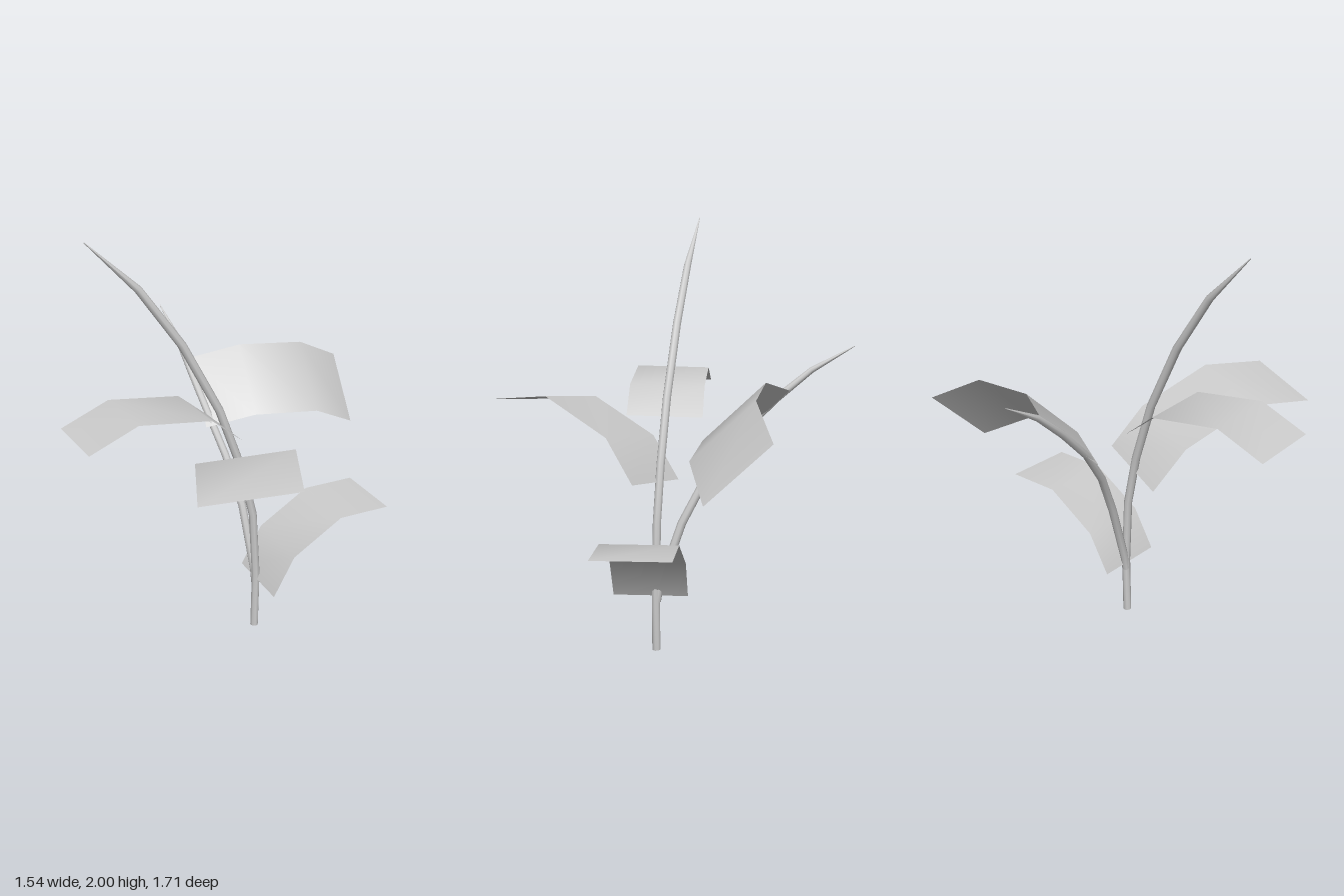
import * as THREE from 'three';
import { toCreasedNormals } from 'three/addons/utils/BufferGeometryUtils.js';

const stemMaterial = new THREE.MeshStandardMaterial({ color: 0xcccccc });
const leafMaterial = new THREE.MeshStandardMaterial({ color: 0xcccccc, side: THREE.DoubleSide });

function buildGeometry(positions, index) {
  const g = new THREE.BufferGeometry();
  g.setAttribute('position', new THREE.Float32BufferAttribute(positions, 3));
  g.setIndex(index);
  g.computeVertexNormals();
  return g;
}

// Bent ribbon: one long edge, swept across by a width vector
function makeLeaf(name, edge, width) {
  const positions = [], index = [];
  edge.forEach((p, i) => {
    positions.push(...p, ...p.map((v, k) => v + width[k]));
    if (i < edge.length - 1) {
      const a = 2 * i;
      index.push(a, a + 2, a + 1, a + 1, a + 2, a + 3);
    }
  });
  const mesh = new THREE.Mesh(buildGeometry(positions, index), leafMaterial);
  mesh.name = name;
  return mesh;
}

// Tapered stalk: eight-sided rings along the points, closed at the base, pointed at the tip.
// planeNormal is perpendicular to the plane in which the stalk bends.
function makeStem(name, points, radii, planeNormal) {
  const sides = 8, positions = [], index = [];
  const pts = points.map(p => new THREE.Vector3(...p));
  const n = new THREE.Vector3(...planeNormal).normalize();
  pts.forEach((p, i) => {
    const before = pts[Math.max(i - 1, 0)], after = pts[Math.min(i + 1, pts.length - 1)];
    const tangent = after.clone().sub(before).normalize();
    const u = new THREE.Vector3().crossVectors(n, tangent).normalize();
    const v = new THREE.Vector3().crossVectors(tangent, u);
    for (let s = 0; s < sides; s++) {
      const t = (s / sides) * Math.PI * 2;
      const q = p.clone().addScaledVector(u, Math.cos(t) * radii[i]).addScaledVector(v, Math.sin(t) * radii[i]);
      positions.push(q.x, q.y, q.z);
      if (i < pts.length - 1) {
        const a = i * sides + s, b = i * sides + (s + 1) % sides;
        index.push(a, b, a + sides, b, b + sides, a + sides);
      }
    }
  });
  // base cap
  const centre = positions.length / 3;
  positions.push(...points[0]);
  for (let s = 0; s < sides; s++) index.push(centre, (s + 1) % sides, s);
  const mesh = new THREE.Mesh(toCreasedNormals(buildGeometry(positions, index), 1), stemMaterial);
  mesh.name = name;
  return mesh;
}

export function createModel() {
  const plant = new THREE.Group();
  plant.name = 'plant';

  // Stalks
  plant.add(makeStem('mainStem',
    [[0.127, 0, 0], [0.133, 0.29, 0], [0.115, 0.62, 0], [0.055, 0.88, 0], [-0.05, 1.18, 0],
      [-0.22, 1.51, 0], [-0.41, 1.78, 0], [-0.635, 2, 0]],
    [0.02, 0.02, 0.02, 0.02, 0.02, 0.02, 0.018, 0.002], [0, 0, 1]));
  plant.add(makeStem('rearStem',
    [[0.13, 0.24, -0.005], [0.128, 0.31, -0.015], [0.095, 0.62, -0.115], [0.04, 0.85, -0.225],
      [-0.015, 1.03, -0.355], [-0.06, 1.2, -0.52], [-0.092, 1.33, -0.67], [-0.133, 1.44, -0.855]],
    [0.018, 0.02, 0.02, 0.019, 0.018, 0.018, 0.014, 0.002], [0.96, 0, -0.29]));

  // Leaves
  plant.add(makeLeaf('lowerLeaf',
    [[0.165, 0.265, 0.198], [0.27, 0.457, 0.18], [0.515, 0.617, 0.143], [0.77, 0.622, 0.1]],
    [-0.06, 0.006, -0.346]));
  plant.add(makeLeaf('sideLeaf',
    [[-0.06, 1.09, -0.17], [-0.21, 1.215, -0.14], [-0.55, 1.257, -0.073], [-0.775, 1.16, -0.03]],
    [0.07, 0.006, 0.35]));
  plant.add(makeLeaf('frontLeaf',
    [[-0.11, 0.775, -0.04], [-0.175, 0.97, 0.105], [-0.275, 1.13, 0.435], [-0.345, 1.09, 0.755]],
    [0.415, 0.06, 0.098]));
  plant.add(makeLeaf('rearLeaf',
    [[-0.035, 0.97, -0.302], [0.195, 1.037, -0.238], [0.525, 1.012, -0.265], [0.755, 0.885, -0.385]],
    [0, 0.27, -0.28]));

  return plant;
}
